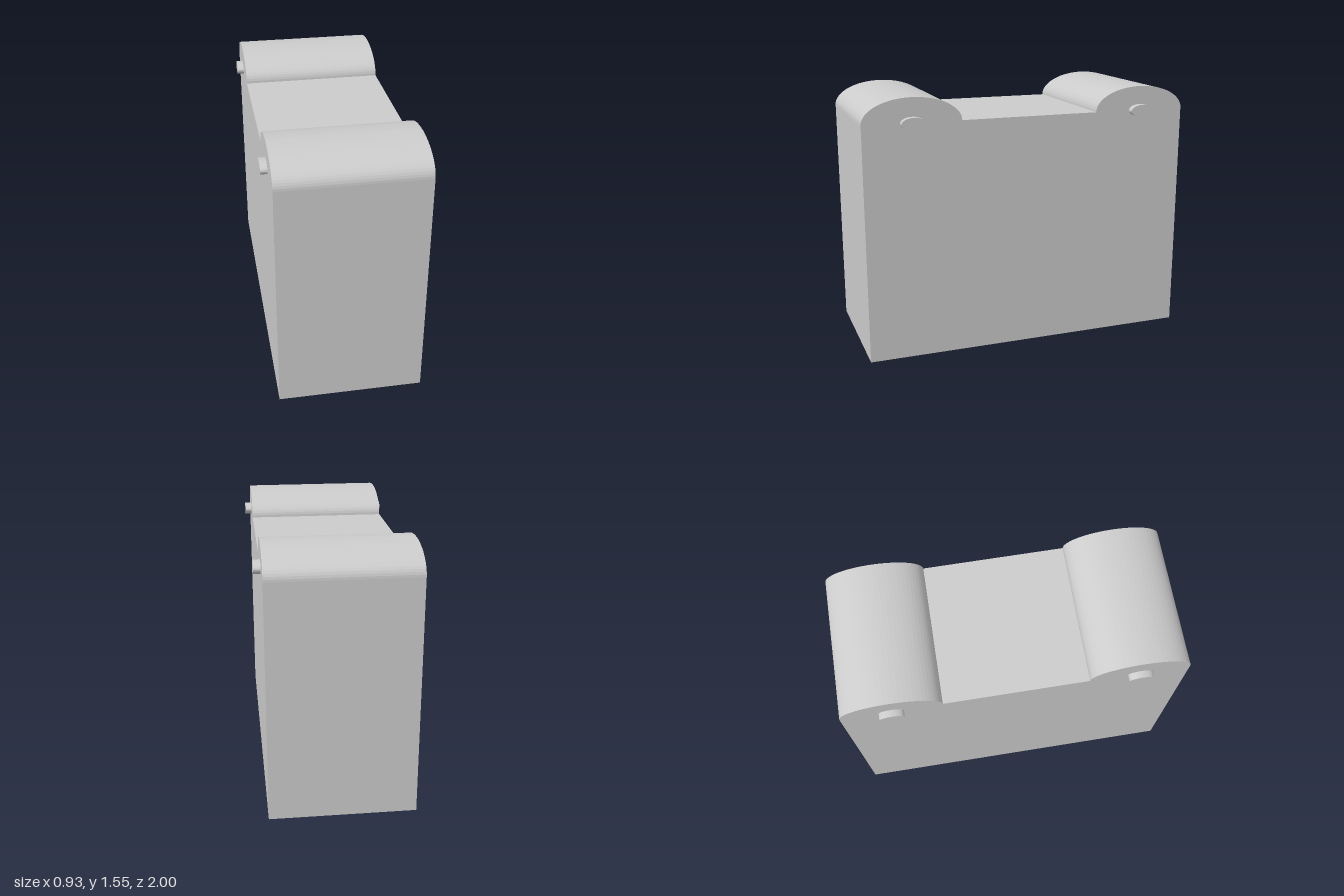
import * as THREE from 'three';

const WIDTH = 0.85;      // body width along x
const DECK = 1.405;      // height of the flat deck and hump centres
const HUMP_Z = 0.71;     // distance of each hump from the middle
const HUMP_RZ = 0.29, HUMP_RY = 0.145;
const PIN_RZ = 0.071, PIN_RY = 0.0355, PIN_LENGTH = 0.93;

export function createModel() {
  const model = new THREE.Group();
  const material = new THREE.MeshStandardMaterial({ color: 0xcccccc, flatShading: true });

  // Side profile: a block with a half-ellipse hump at each end of its top
  const profile = new THREE.Shape();
  profile.moveTo(-1, 0);
  profile.lineTo(1, 0);
  profile.lineTo(1, DECK);
  for (const z of [HUMP_Z, -HUMP_Z]) {
    profile.absellipse(z, DECK, HUMP_RZ, HUMP_RY, 0, Math.PI, false);
  }
  profile.closePath();

  const bodyGeometry = new THREE.ExtrudeGeometry(profile, {
    depth: WIDTH, bevelEnabled: false, curveSegments: 16,
  });
  bodyGeometry.translate(0, 0, -WIDTH / 2).rotateY(-Math.PI / 2);
  const body = new THREE.Mesh(bodyGeometry, material);
  body.name = 'body';
  model.add(body);

  // Flattened pins running through the humps and poking out on both sides
  const pinGeometry = new THREE.CylinderGeometry(1, 1, PIN_LENGTH, 32);
  pinGeometry.rotateZ(Math.PI / 2).scale(1, PIN_RY, PIN_RZ);
  for (const [name, z] of [['frontPin', HUMP_Z], ['backPin', -HUMP_Z]]) {
    const pin = new THREE.Mesh(pinGeometry, material);
    pin.name = name;
    pin.position.set(0, DECK, z);
    model.add(pin);
  }

  return model;
}
